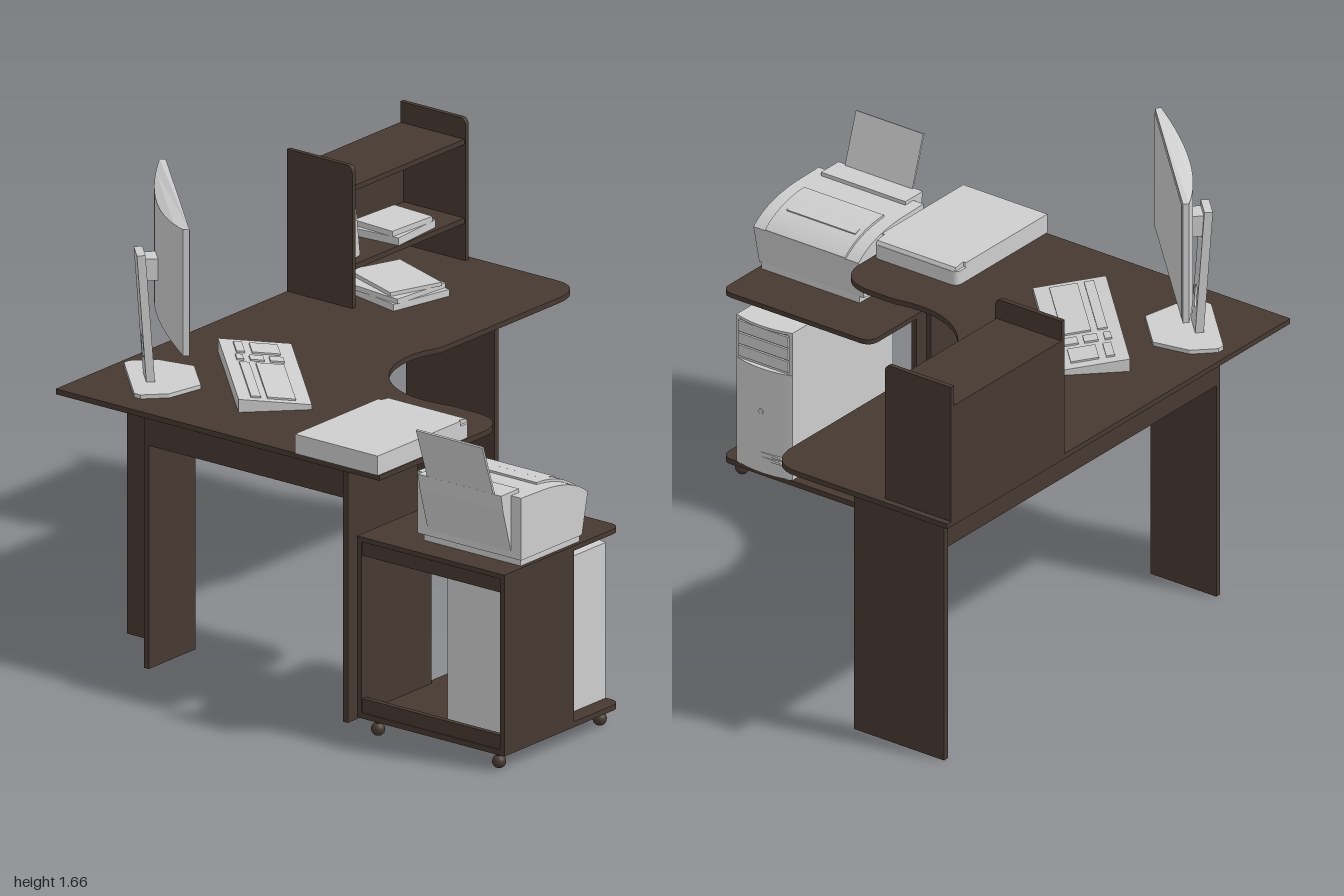
import * as THREE from 'three';

const mat = (name, color) => {
  const m = new THREE.MeshStandardMaterial({ color });
  m.name = name;
  return m;
};

export function createModel() {
  const wood = mat('dark wood', 0x463931);
  const grey = mat('light grey', 0xcecece);
  const root = new THREE.Group();

  const group = (name, x = 0, y = 0, z = 0, ry = 0) => {
    const g = new THREE.Group();
    g.name = name;
    g.position.set(x, y, z);
    g.rotation.y = ry;
    root.add(g);
    return g;
  };
  const add = (parent, name, geo, m) => {
    const mesh = new THREE.Mesh(geo, m);
    mesh.name = name;
    parent.add(mesh);
    return mesh;
  };
  // Box given by its limits on each axis
  const box = (parent, name, m, x0, x1, y0, y1, z0, z1) => {
    const mesh = add(parent, name, new THREE.BoxGeometry(x1 - x0, y1 - y0, z1 - z0), m);
    mesh.position.set((x0 + x1) / 2, (y0 + y1) / 2, (z0 + z1) / 2);
    return mesh;
  };
  // Horizontal board: the shape is drawn in (x, -z) and raised from y0 to y1
  const slab = (parent, name, m, shape, y0, y1) => {
    const geo = new THREE.ExtrudeGeometry(shape, { depth: y1 - y0, bevelEnabled: false, curveSegments: 16 });
    geo.rotateX(-Math.PI / 2);
    geo.translate(0, y0, 0);
    return add(parent, name, geo, m);
  };
  // Upright section drawn in (x, y), stretched from z0 to z1
  const prism = (parent, name, m, shape, z0, z1) => {
    const geo = new THREE.ExtrudeGeometry(shape, { depth: z1 - z0, bevelEnabled: false, curveSegments: 16 });
    geo.translate(0, 0, z0);
    return add(parent, name, geo, m);
  };
  const poly = (pts) => new THREE.Shape(pts.map(([x, y]) => new THREE.Vector2(x, y)));
  // Plan rectangle whose two corners on the +x side are rounded
  const roundedFront = (x0, x1, z0, z1, r) => {
    const s = new THREE.Shape();
    s.moveTo(x0, -z1);
    s.lineTo(x1 - r, -z1);
    s.quadraticCurveTo(x1, -z1, x1, -z1 + r);
    s.lineTo(x1, -z0 - r);
    s.quadraticCurveTo(x1, -z0, x1 - r, -z0);
    s.lineTo(x0, -z0);
    return s;
  };

  // Corner desk
  const desk = group('desk');
  const top = new THREE.Shape();
  top.moveTo(-0.975, 0.995);
  top.lineTo(-0.975, -0.445);
  top.lineTo(-0.38, -0.445);
  top.quadraticCurveTo(-0.26, -0.43, -0.255, -0.3);
  top.lineTo(-0.255, -0.2);
  top.bezierCurveTo(-0.257, -0.16, -0.268, -0.15, -0.268, -0.08);
  top.bezierCurveTo(-0.27, 0.1, -0.12, 0.245, 0.06, 0.245);
  top.bezierCurveTo(0.15, 0.243, 0.16, 0.212, 0.22, 0.212);
  top.lineTo(0.87, 0.212);
  top.quadraticCurveTo(0.99, 0.225, 0.99, 0.335);
  top.lineTo(0.99, 0.995);
  slab(desk, 'desktop', wood, top, 0.955, 0.975);
  box(desk, 'sideLeg', wood, 0.897, 0.92, 0, 0.955, -0.928, -0.535);
  box(desk, 'frontLeg', wood, -0.91, -0.52, 0, 0.955, 0.23, 0.252);
  box(desk, 'cornerLegSide', wood, -0.665, -0.643, 0, 0.955, -0.925, -0.637);
  box(desk, 'cornerLegFront', wood, -0.905, -0.665, 0, 0.955, -0.659, -0.637);
  box(desk, 'backApron', wood, -0.643, 0.897, 0.825, 0.955, -0.925, -0.903);
  box(desk, 'sideApron', wood, -0.905, -0.883, 0.825, 0.955, -0.637, 0.23);

  // Shelf unit standing on the desk
  const shelf = group('shelfUnit');
  const side = new THREE.Shape();
  side.moveTo(0.705, 0.975);
  side.lineTo(0.995, 0.975);
  side.lineTo(0.995, 1.5);
  side.lineTo(0.73, 1.5);
  side.quadraticCurveTo(0.705, 1.5, 0.705, 1.47);
  for (const x of [0.335, 0.967]) {
    const geo = new THREE.ExtrudeGeometry(side, { depth: 0.018, bevelEnabled: false });
    geo.rotateY(Math.PI / 2);
    geo.translate(x - 0.018, 0, 0);
    add(shelf, 'shelfSide', geo, wood);
  }
  box(shelf, 'shelfTop', wood, 0.335, 0.949, 1.404, 1.423, -0.995, -0.71);
  box(shelf, 'middleShelf', wood, 0.335, 0.949, 1.112, 1.132, -0.98, -0.71);
  box(shelf, 'shelfBack', wood, 0.335, 0.949, 0.975, 1.404, -0.995, -0.98);

  // Books and papers
  prism(shelf, 'leaningBook', grey, poly([[0.362, 1.134], [0.405, 1.14], [0.375, 1.38], [0.337, 1.375]]), -0.96, -0.74);
  const stack = (name, w, h, d, x, y, z, ry) => {
    const b = add(shelf, name, new THREE.BoxGeometry(w, h, d), grey);
    b.position.set(x, y + h / 2, z);
    b.rotation.y = ry;
  };
  stack('lyingBook', 0.23, 0.028, 0.2, 0.69, 1.132, -0.82, 0.08);
  stack('lyingBookUpper', 0.21, 0.02, 0.18, 0.69, 1.16, -0.82, -0.06);
  stack('paperStackLower', 0.25, 0.025, 0.31, 0.54, 0.975, -0.7, -0.22);
  stack('paperStackMiddle', 0.24, 0.018, 0.29, 0.53, 1.0, -0.7, -0.1);
  stack('paperStackUpper', 0.21, 0.014, 0.28, 0.55, 1.018, -0.7, -0.35);

  // Monitor, turned towards the seat in the inner corner
  const monitor = group('monitor', -0.64, 0, -0.72, Math.PI / 4);
  const shell = new THREE.Shape();
  shell.moveTo(-0.368, 0);
  shell.lineTo(0.368, 0);
  shell.lineTo(0.368, 0.022);
  shell.quadraticCurveTo(0, 0.125, -0.368, 0.022);
  const shellMesh = slab(monitor, 'monitorShell', grey, shell, 1.195, 1.662);
  // Top and bottom of the curved back slope inwards
  const sp = shellMesh.geometry.attributes.position;
  for (let i = 0; i < sp.count; i++) {
    const drop = 0.5 * Math.max(0, -sp.getZ(i) - 0.022);
    sp.setY(i, sp.getY(i) + (sp.getY(i) > 1.4 ? -drop : drop));
  }
  shellMesh.geometry.computeVertexNormals();
  box(monitor, 'screen', grey, -0.358, 0.358, 1.205, 1.652, 0, 0.003);
  slab(monitor, 'monitorBase', grey, poly([[-0.18, 0.05], [-0.1, -0.07], [0.1, -0.07], [0.18, 0.05],
    [0.18, 0.15], [0.16, 0.17], [-0.16, 0.17], [-0.18, 0.15]]), 0.975, 0.99);
  const neck = poly([[-0.052, 0], [0.052, 0], [0.05, 0.47], [-0.05, 0.47]]);
  const hole = new THREE.Path();
  hole.moveTo(0.022, 0.1);
  hole.lineTo(0.022, 0.14);
  hole.absarc(0, 0.14, 0.022, 0, Math.PI, false);
  hole.lineTo(-0.022, 0.1);
  hole.absarc(0, 0.1, 0.022, Math.PI, Math.PI * 2, false);
  neck.holes.push(hole);
  const neckMesh = prism(monitor, 'monitorNeck', grey, neck, -0.015, 0.015);
  neckMesh.position.set(0, 0.988, -0.1);
  neckMesh.rotation.x = -0.07;
  box(monitor, 'monitorMount', grey, -0.04, 0.04, 1.36, 1.44, -0.125, -0.05);

  // Keyboard: a sloped wedge with raised key fields
  const keyboard = group('keyboard', -0.453, 0.975, -0.48, Math.PI / 4);
  const wedge = new THREE.BoxGeometry(0.638, 0.04, 0.257);
  const wp = wedge.attributes.position;
  for (let i = 0; i < wp.count; i++) {
    wp.setY(i, wp.getY(i) < 0 ? 0 : wp.getZ(i) < 0 ? 0.048 : 0.018);
  }
  wedge.computeVertexNormals();
  add(keyboard, 'keyboardBody', wedge, grey);
  const slope = Math.atan(0.03 / 0.257);
  const keys = [
    [-0.11, 0.025, 0.36, 0.1], [-0.11, -0.065, 0.36, 0.035],
    [0.125, 0.055, 0.05, 0.05], [0.125, -0.015, 0.05, 0.05], [0.125, -0.075, 0.05, 0.025],
    [0.23, 0.025, 0.1, 0.1], [0.23, -0.065, 0.1, 0.03],
  ];
  for (const [u, v, w, d] of keys) {
    const k = add(keyboard, 'keyField', new THREE.BoxGeometry(w, 0.009, d), grey);
    k.position.set(u, 0.035 - v * 0.118, v);
    k.rotation.x = slope;
  }

  // Flatbed scanner
  const scanner = group('scanner');
  slab(scanner, 'scannerBody', grey, roundedFront(-0.98, -0.462, 0.073, 0.441, 0.03), 0.975, 1.028);
  slab(scanner, 'scannerLid', grey, roundedFront(-0.98, -0.515, 0.073, 0.441, 0.005), 1.028, 1.047);
  prism(scanner, 'scannerFrontSlope', grey, poly([[-0.515, 1.028], [-0.464, 1.028], [-0.472, 1.041], [-0.515, 1.047]]), 0.085, 0.43);

  // Rolling cart
  const cart = group('cart');
  slab(cart, 'cartTop', wood, roundedFront(-0.975, -0.322, 0.345, 1, 0.05), 0.712, 0.73);
  slab(cart, 'cartBottom', wood, roundedFront(-0.975, -0.322, 0.345, 1, 0.05), 0.06, 0.08);
  for (const z of [0.345, 0.98]) box(cart, 'cartSide', wood, -0.975, -0.585, 0.08, 0.712, z, z + 0.02);
  box(cart, 'cartUpperRail', wood, -0.97, -0.95, 0.66, 0.712, 0.365, 0.98);
  box(cart, 'cartLowerRail', wood, -0.97, -0.95, 0.08, 0.132, 0.365, 0.98);
  for (const x of [-0.945, -0.383]) {
    for (const z of [0.415, 0.953]) {
      add(cart, 'caster', new THREE.SphereGeometry(0.025, 16, 12), wood).position.set(x, 0.025, z);
      add(cart, 'casterStem', new THREE.CylinderGeometry(0.01, 0.01, 0.025, 10), wood).position.set(x, 0.052, z);
    }
  }

  // Computer tower with a curved front
  const tower = group('tower', 0, 0, -0.004);
  box(tower, 'towerCase', grey, -0.9, -0.325, 0.08, 0.655, 0.692, 0.937);
  const bulge = new THREE.Shape();
  bulge.moveTo(-0.325, -0.937);
  bulge.quadraticCurveTo(-0.286, -0.8145, -0.325, -0.692);
  slab(tower, 'towerFront', grey, bulge, 0.08, 0.488);
  slab(tower, 'towerFrontTop', grey, bulge, 0.645, 0.655);
  for (const y of [0.5, 0.548, 0.596]) box(tower, 'driveBay', grey, -0.325, -0.317, y, y + 0.042, 0.705, 0.925);
  for (const y of [0.134, 0.152]) box(tower, 'portStrip', grey, -0.316, -0.304, y, y + 0.01, 0.73, 0.815);
  const button = add(tower, 'powerButton', new THREE.CylinderGeometry(0.01, 0.01, 0.006, 14), grey);
  button.rotation.z = Math.PI / 2;
  button.position.set(-0.305, 0.32, 0.815);

  // Printer on the cart
  const printer = group('printer');
  const body = new THREE.Shape();
  body.moveTo(-0.875, 0.755);
  body.lineTo(-0.535, 0.755);
  body.lineTo(-0.502, 0.905);
  body.quadraticCurveTo(-0.58, 0.975, -0.75, 0.982);
  body.lineTo(-0.875, 0.985);
  prism(printer, 'printerBody', grey, body, 0.535, 0.995);
  box(printer, 'printerBase', grey, -0.865, -0.535, 0.73, 0.755, 0.555, 0.985);
  prism(printer, 'paperFeed', grey, poly([[-0.87, 0.76], [-0.83, 0.76], [-0.83, 0.998], [-0.93, 0.998], [-0.92, 0.94]]), 0.58, 0.95);
  const cover = new THREE.Shape();
  cover.moveTo(-0.72, 0.97);
  cover.lineTo(-0.51, 0.89);
  cover.lineTo(-0.496, 0.912);
  cover.quadraticCurveTo(-0.58, 0.982, -0.72, 0.988);
  prism(printer, 'outputCover', grey, cover, 0.59, 0.94);
  const lip = box(printer, 'outputSlot', grey, -0.66, -0.58, 0.966, 0.974, 0.61, 0.91);
  lip.rotation.z = -0.2;
  const sheet = box(printer, 'paperTray', grey, -0.957, -0.949, 0.97, 1.192, 0.62, 0.915);
  sheet.rotation.z = 0.32;

  return root;
}
